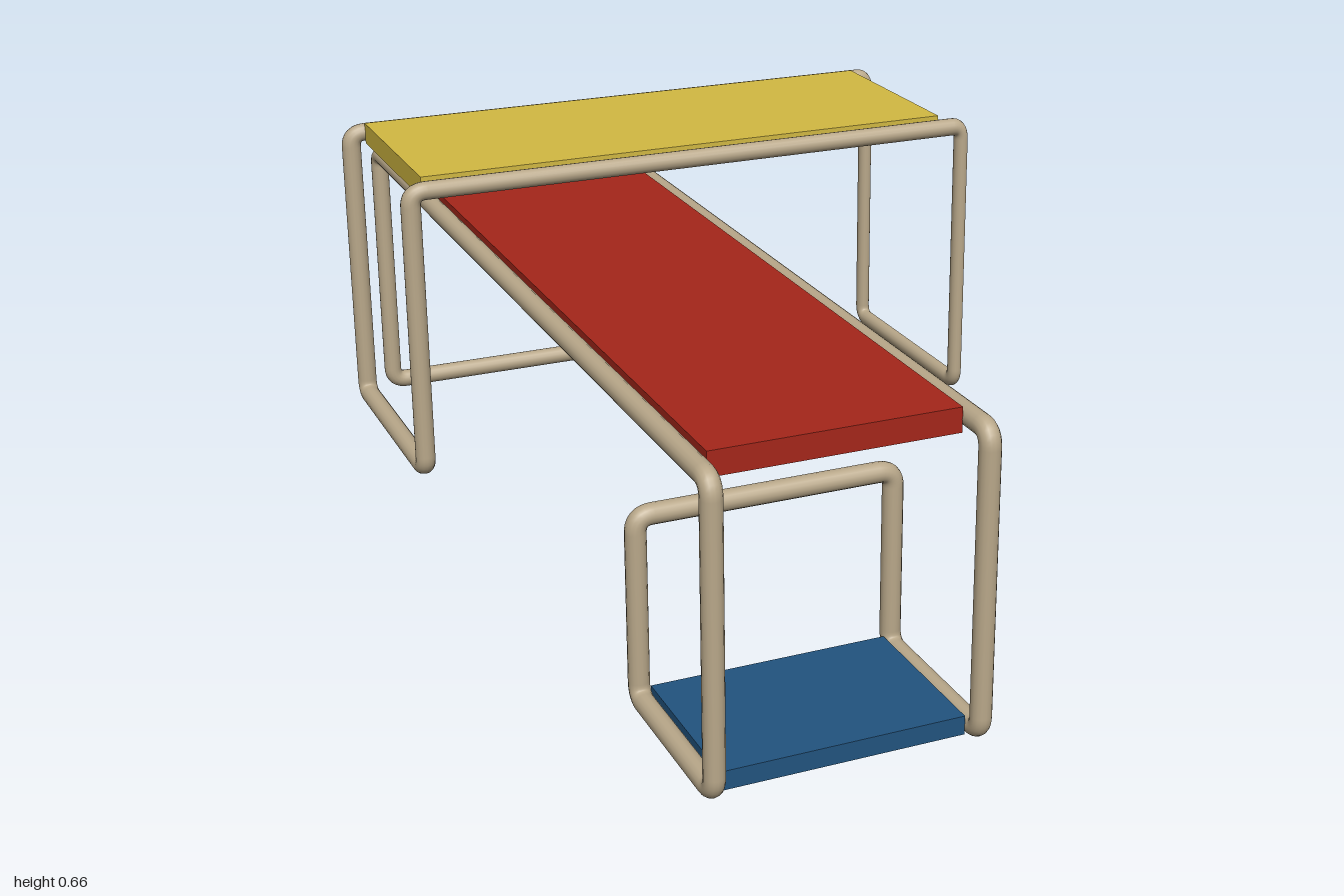
import * as THREE from 'three';
import { mergeGeometries } from 'three/addons/utils/BufferGeometryUtils.js';

const TUBE = 0.019, BEND = 0.03;
const wood = new THREE.MeshStandardMaterial({ color: 0xb9a88a });

// Closed bent-tube loop: straight runs joined by rounded elbows.
function tubeLoop(points) {
  const p = points.map((a) => new THREE.Vector3(...a));
  const n = p.length;
  const toward = (a, b) => a.clone().add(b.clone().sub(a).setLength(BEND));
  const parts = [];
  p.forEach((corner, i) => {
    const prev = p[(i + n - 1) % n], next = p[(i + 1) % n];
    const out = toward(corner, next);
    const elbow = new THREE.QuadraticBezierCurve3(toward(corner, prev), corner, out);
    const run = new THREE.LineCurve3(out, toward(next, corner));
    parts.push(new THREE.TubeGeometry(elbow, 8, TUBE, 16), new THREE.TubeGeometry(run, 1, TUBE, 16));
  });
  return mergeGeometries(parts);
}

function addMesh(group, name, geometry, material) {
  const mesh = new THREE.Mesh(geometry, material);
  mesh.name = name;
  group.add(mesh);
  return mesh;
}

// Flat board given by its [min, max] range on each axis.
function addBoard(group, name, color, x, y, z) {
  const geo = new THREE.BoxGeometry(x[1] - x[0], y[1] - y[0], z[1] - z[0]);
  const mesh = addMesh(group, name, geo, new THREE.MeshStandardMaterial({ color }));
  mesh.position.set((x[0] + x[1]) / 2, (y[0] + y[1]) / 2, (z[0] + z[1]) / 2);
}

export function createModel() {
  const model = new THREE.Group();
  model.name = 'twoLevelDesk';

  // Long lower desk: one side of the frame, then its mirror, in one loop
  const side = [
    [0.022, -0.979], [0.567, -0.979], [0.567, 0.981],
    [0.022, 0.981], [0.022, 0.64], [0.362, 0.64],
  ];
  const left = -0.067, right = -0.548;
  const lowerPath = [
    ...side.map(([y, z]) => [right, y, z]),
    ...side.slice().reverse().map(([y, z]) => [left, y, z]),
  ];
  const lower = new THREE.Group();
  lower.name = 'lowerDesk';
  addMesh(lower, 'lowerFrame', tubeLoop(lowerPath), wood);
  addBoard(lower, 'lowerTop', 0xa5261a, [-0.53, -0.085], [0.543, 0.588], [-0.96, 0.92]);
  addBoard(lower, 'footShelf', 0x22547f, [-0.53, -0.085], [0.008, 0.043], [0.65, 0.96]);

  // Raised cross desk: two rails and a U-shaped leg pair at each end
  const front = -0.43, back = -0.915, low = 0.031, high = 0.637;
  const L = 0.627, R = -0.624;
  const upperGeo = tubeLoop([
    [R, low, back], [R, low, front], [R, high, front], [L, high, front],
    [L, low, front], [L, low, back], [L, high, back], [R, high, back],
  ]);
  // Leg tubes are stouter on the right end and slimmer on the left end
  const pos = upperGeo.attributes.position;
  for (let i = 0; i < pos.count; i++) {
    const x = pos.getX(i);
    if (x > 0.55) pos.setX(i, L + (x - L) * 0.78);
    else if (x < -0.55) pos.setX(i, R + (x - R) * 1.1);
  }
  const upper = new THREE.Group();
  upper.name = 'upperDesk';
  addMesh(upper, 'upperFrame', upperGeo, wood);
  addBoard(upper, 'upperTop', 0xd2b942, [-0.595, 0.58], [0.615, 0.66], [-0.9, -0.45]);

  model.add(lower, upper);
  return model;
}
